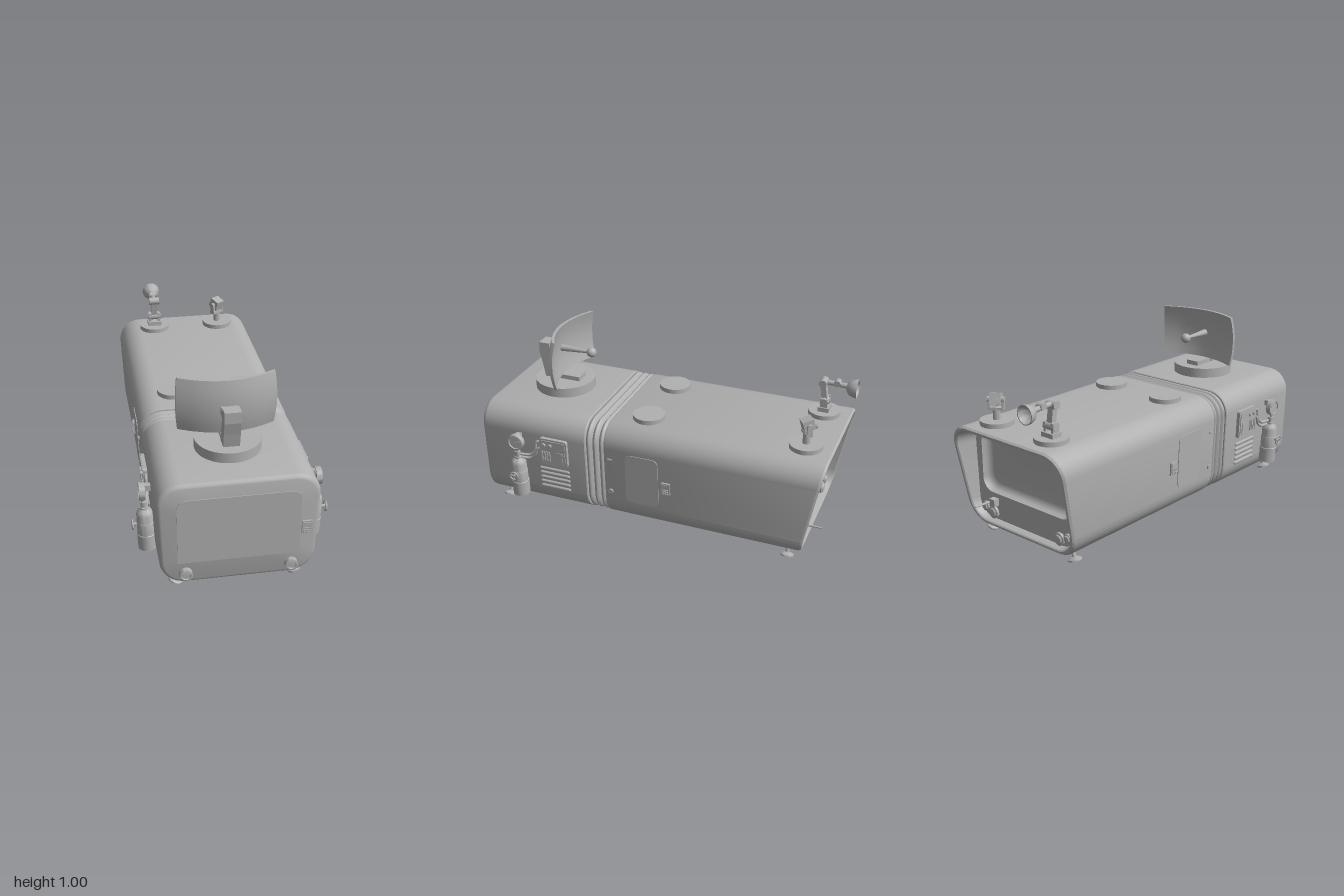
import * as THREE from 'three';
import { toCreasedNormals } from 'three/addons/utils/BufferGeometryUtils.js';

const grey = new THREE.MeshStandardMaterial({ color: 0xb0b0b0, side: THREE.DoubleSide });
grey.name = 'hull grey';

function add(parent, name, geo, pos = [0, 0, 0], rot = [0, 0, 0]) {
  const m = new THREE.Mesh(geo, grey);
  m.name = name;
  m.position.set(...pos);
  m.rotation.set(...rot);
  parent.add(m);
  return m;
}
function group(parent, name, pos = [0, 0, 0], rot = [0, 0, 0]) {
  const g = new THREE.Group();
  g.name = name;
  g.position.set(...pos);
  g.rotation.set(...rot);
  parent.add(g);
  return g;
}
const V = (x, y, z) => new THREE.Vector3(x, y, z);
const box = (x, y, z) => new THREE.BoxGeometry(x, y, z);
const cyl = (r1, r2, h, n = 28) => new THREE.CylinderGeometry(r1, r2, h, n);
const tube = (pts, r) => new THREE.TubeGeometry(new THREE.CatmullRomCurve3(pts.map(p => V(...p))), 20, r, 8);
const lathe = (pts, n = 28) =>
  toCreasedNormals(new THREE.LatheGeometry(pts.map(p => new THREE.Vector2(...p)), n), 0.6);
// Straight rod between two points
function rod(parent, name, a, b, r1, r2 = r1, n = 12) {
  const A = V(...a), B = V(...b), d = B.clone().sub(A);
  const m = add(parent, name, cyl(r2, r1, d.length(), n), A.clone().add(B).multiplyScalar(0.5).toArray());
  m.quaternion.setFromUnitVectors(V(0, 1, 0), d.normalize());
  return m;
}

// Rounded rectangle outline, counter-clockwise, leaning out slightly towards the top
function outline(hw, y0, y1, r, lean = 0) {
  const pts = [];
  [[1, y0 + r], [1, y1 - r], [-1, y1 - r], [-1, y0 + r]].forEach(([s, cy], k) => {
    for (let i = 0; i <= 8; i++) {
      const a = (k - 1 + i / 8) * Math.PI / 2;
      const y = cy + r * Math.sin(a);
      pts.push([(s * (hw - r) + r * Math.cos(a)) * (1 + lean * (y - 0.345)), y]);
    }
  });
  return pts;
}
const hullOutline = inset => outline(0.398 - inset, 0.055 + inset, 0.63 - inset, 0.125 - inset * 0.8, 0.09);
const toShape = pts => new THREE.Shape(pts.map(p => new THREE.Vector2(...p)));
const ring = (inset, z) => hullOutline(inset).map(([x, y]) => [x, y, typeof z === 'function' ? z(y) : z]);

// Skin a list of rings running from back to front, optionally closing the ends
function loft(rings, capBack, capFront) {
  const n = rings[0].length, pos = rings.flat(2), idx = [];
  for (let j = 0; j < rings.length - 1; j++)
    for (let i = 0; i < n; i++) {
      const a = j * n + i, b = j * n + (i + 1) % n;
      idx.push(a, b, b + n, a, b + n, a + n);
    }
  const cap = (j, flip) => {
    const c = pos.length / 3;
    pos.push(0, 0.345, rings[j][0][2]);
    for (let i = 0; i < n; i++) {
      const a = j * n + i, b = j * n + (i + 1) % n;
      idx.push(c, flip ? b : a, flip ? a : b);
    }
  };
  if (capBack) cap(0, true);
  if (capFront) cap(rings.length - 1, false);
  const g = new THREE.BufferGeometry();
  g.setAttribute('position', new THREE.Float32BufferAttribute(pos, 3));
  g.setIndex(idx);
  return toCreasedNormals(g, 0.6);
}
// Rounded plate facing +z, with its back at z = 0
const plate = (w, h, r, d) =>
  new THREE.ExtrudeGeometry(toShape(outline(w / 2, -h / 2, h / 2, r)), { depth: d, bevelEnabled: false });

function keypad(parent, pos, rot) {
  const g = group(parent, 'keypad', pos, rot);
  add(g, 'keypadCase', plate(0.052, 0.074, 0.004, 0.012));
  add(g, 'keypadDisplay', box(0.036, 0.02, 0.006), [0, 0.02, 0.013]);
  for (let i = 0; i < 9; i++)
    add(g, 'key', box(0.009, 0.008, 0.008), [(i % 3 - 1) * 0.013, -0.004 - Math.floor(i / 3) * 0.011, 0.014]);
}

function buildHull(root) {
  const hull = group(root, 'hull');
  add(hull, 'frontCabin', loft([ring(0.02, 0.335), ring(0.004, 0.335), ring(0, 0.328 + 0.012),
    ring(0, 0.945), ring(0.004, 0.958), ring(0.011, 0.966), ring(0.022, 0.97)], true, true));
  const ribs = [];
  for (let i = 0; i <= 36; i++)
    ribs.push(ring(0.022 - 0.02 * Math.abs(Math.sin(i / 12 * Math.PI)), 0.222 + 0.116 * i / 36));
  add(hull, 'bellows', loft(ribs));
  const slant = o => y => -0.87 - 0.11 * (y - 0.06) / 0.57 + o;
  add(hull, 'rearCabin', loft([ring(0.035, -0.835), ring(0.026, slant(0.006)), ring(0.02, slant(0)), ring(0.008, slant(0)),
    ring(0, slant(0.012)), ring(0, 0.215), ring(0.004, 0.225), ring(0.02, 0.225)], false, true));
  // Recessed rear wall and window
  const wall = toShape(hullOutline(0.035));
  const win = i => outline(0.325 - i, 0.235 + i, 0.575 - i, 0.07 - i * 0.4);
  wall.holes.push(new THREE.Path(win(0).map(p => new THREE.Vector2(...p))));
  add(hull, 'rearWall', new THREE.ShapeGeometry(wall), [0, 0, -0.835]);
  const wr = (i, z) => win(i).map(([x, y]) => [x, y, z]).reverse();
  add(hull, 'rearWindow', loft([wr(0, -0.835), wr(0.006, -0.81), wr(0.02, -0.795), wr(0.04, -0.79)], false, true));
  // Front screen, keypad and lamps
  const s = new THREE.Shape();
  s.moveTo(-0.305, 0.18).lineTo(0.305, 0.18).lineTo(0.305, 0.495);
  s.quadraticCurveTo(0.305, 0.545, 0.255, 0.545).lineTo(-0.255, 0.545).quadraticCurveTo(-0.305, 0.545, -0.305, 0.495);
  add(hull, 'frontScreen', new THREE.ExtrudeGeometry(s, { depth: 0.006, bevelEnabled: false }), [0, 0, 0.968]);
  keypad(hull, [0.338, 0.33, 0.968]);
  for (const x of [-0.265, 0.265]) {
    add(hull, 'frontLamp', lathe([[0.033, 0], [0.033, 0.03], [0.024, 0.032], [0.022, 0.024], [0, 0.026]]),
      [x, 0.118, 0.965], [Math.PI / 2, 0, 0]);
    // Paired tail lamps
    for (const [dx, y, r] of [[0, 0.125, 0.034], [Math.sign(x) * 0.06, 0.145, 0.026]])
      add(hull, 'tailLamp', lathe([[r, 0], [r, 0.014], [r * 0.75, 0.016], [r * 0.6, 0.022], [0, 0.026]]),
        [x - Math.sign(x) * 0.02 + dx, y, -0.835], [-Math.PI / 2, 0, 0]);
  }
  add(hull, 'rearSensor', box(0.04, 0.04, 0.035), [0.23, 0.19, -0.85]);
  rod(hull, 'rearProbe', [0.25, 0.19, -0.84], [0.25, 0.19, -0.96], 0.008, 0.004);
}

// Equipment on one flank, drawn for +x
function buildFlank(root, s) {
  const flank = group(root, s > 0 ? 'leftFlank' : 'rightFlank');
  flank.scale.x = s;
  const side = group(flank, 'sideWall', [0.398, 0.345, 0], [0, 0, -0.036]);
  const out = [0, Math.PI / 2, 0], turn = [0, 0, -Math.PI / 2];
  add(side, 'door', plate(0.19, 0.3, 0.035, 0.006), [-0.002, 0, 0.005], out);
  keypad(side, [-0.002, -0.015, -0.133], out);
  add(side, 'lockBolt', cyl(0.015, 0.015, 0.015, 16), [0.002, -0.105, 0.19], turn);
  add(side, 'latch', box(0.012, 0.008, 0.024), [0.002, 0.1, 0.19]);
  for (let i = 0; i < 5; i++)
    add(side, 'louvre', new THREE.CapsuleGeometry(0.01, 0.165, 4, 10), [0, -0.045 - i * 0.029, 0.53], [Math.PI / 2, 0, 0]);
  // Control box
  add(side, 'controlBox', plate(0.165, 0.165, 0.014, 0.02), [0, 0.078, 0.522], out);
  add(side, 'controlFace', plate(0.145, 0.145, 0.01, 0.004), [0.02, 0.078, 0.522], out);
  for (const z of [0.575, 0.537]) add(side, 'dial', cyl(0.012, 0.012, 0.014, 16), [0.028, 0.123, z], turn);
  for (let i = 0; i < 4; i++) add(side, 'switchBar', box(0.01, 0.06, 0.009), [0.026, 0.055, 0.588 - i * 0.015]);
  add(side, 'controlPlate', box(0.006, 0.07, 0.035), [0.025, 0.052, 0.48]);
  // Gas bottle with valve wheel and gauge
  const tank = group(flank, 'gasBottle', [0.426, 0.13, 0.735], [0, 0, -0.05]);
  add(tank, 'bottle', lathe([[0, 0], [0.048, 0], [0.048, 0.085], [0.045, 0.088], [0.045, 0.155], [0.043, 0.158],
    [0.043, 0.2], [0.037, 0.218], [0.02, 0.232], [0.02, 0.242], [0.016, 0.244], [0.016, 0.275], [0, 0.278]]));
  rod(tank, 'valveStem', [0.035, 0.145, 0], [0.068, 0.145, 0], 0.008);
  add(tank, 'valveWheel', new THREE.TorusGeometry(0.024, 0.005, 8, 24), [0.066, 0.145, 0], out);
  for (const a of [0.5, 2.6, 4.7])
    rod(tank, 'wheelSpoke', [0.066, 0.145, 0], [0.066, 0.145 + 0.024 * Math.sin(a), 0.024 * Math.cos(a)], 0.003);
  add(flank, 'gauge', lathe([[0, 0], [0.046, 0], [0.046, 0.03], [0.038, 0.031], [0.036, 0.024], [0, 0.024]]),
    [0.433, 0.465, 0.735], turn);
  add(flank, 'gaugeNeedle', box(0.004, 0.005, 0.04), [0.459, 0.468, 0.728], [0.35, 0, 0]);
  add(flank, 'gaugeBracket', box(0.04, 0.03, 0.03), [0.415, 0.488, 0.735]);
  rod(flank, 'gaugeStem', [0.442, 0.39, 0.735], [0.446, 0.43, 0.735], 0.009);
  add(flank, 'upperHose', tube([[0.41, 0.475, 0.6], [0.415, 0.47, 0.625], [0.415, 0.42, 0.635], [0.42, 0.385, 0.665], [0.435, 0.385, 0.73]], 0.008));
  add(flank, 'lowerHose', tube([[0.41, 0.435, 0.6], [0.415, 0.43, 0.618], [0.413, 0.385, 0.64], [0.415, 0.36, 0.67], [0.43, 0.362, 0.73]], 0.008));
}

function buildRoof(root) {
  const roof = group(root, 'roof');
  for (const x of [-0.195, 0.2]) for (const z of [0.04, -0.83])
    add(roof, 'roofDisc', cyl(0.088, 0.088, 0.03, 40), [x, 0.64, z]);
  // Large curved reflector on a turntable
  const radar = group(roof, 'radar', [0, 0, 0.64]);
  add(radar, 'turntable', cyl(0.17, 0.17, 0.06, 48), [0, 0.655, 0]);
  const panel = new THREE.BoxGeometry(0.49, 0.285, 0.018, 8, 8, 1), p = panel.attributes.position;
  for (let i = 0; i < p.count; i++) {
    const u = p.getX(i) / 0.245, v = p.getY(i) / 0.1425;
    p.setX(i, p.getX(i) * (1.04 - 0.04 * v * v));
    p.setZ(i, p.getZ(i) - 0.07 * u * u - 0.018 * v * v);
  }
  add(radar, 'reflector', toCreasedNormals(panel, 0.6), [0, 0.8575, 0.025]);
  const arm = new THREE.Shape([[0.03, 0.68], [0.105, 0.68], [0.12, 0.76], [0.137, 0.83], [0.137, 0.89], [0.075, 0.89],
    [0.075, 0.87], [0.025, 0.87], [0.025, 0.83], [0.07, 0.83], [0.05, 0.76]].map(q => new THREE.Vector2(-q[0], q[1])));
  add(radar, 'radarArm', new THREE.ExtrudeGeometry(arm, { depth: 0.084, bevelEnabled: false }), [-0.042, 0, 0], [0, Math.PI / 2, 0]);
  add(radar, 'radarFoot', box(0.08, 0.03, 0.13), [0, 0.695, -0.04]);
  rod(radar, 'feedArm', [0, 0.86, 0.02], [0, 0.86, -0.16], 0.02, 0.008);
  add(radar, 'feedBall', new THREE.SphereGeometry(0.028, 24, 16), [0, 0.86, -0.17]);
  // Small dish on a jointed arm
  const dish = group(roof, 'smallDish', [-0.195, 0, -0.83]);
  add(dish, 'dishFoot', box(0.08, 0.025, 0.06), [0, 0.667, 0]);
  for (const x of [-0.026, 0.026]) add(dish, 'dishFork', box(0.014, 0.06, 0.04), [x, 0.7, 0]);
  const joint = (y, z, r, w) => add(dish, 'dishJoint', cyl(r, r, w, 20), [0, y, z], [0, 0, Math.PI / 2]);
  joint(0.71, 0, 0.022, 0.075);
  add(dish, 'lowerArm', box(0.035, 0.12, 0.03), [0, 0.76, 0.008], [0.15, 0, 0]);
  joint(0.815, 0.015, 0.022, 0.06);
  rod(dish, 'upperArm', [0, 0.82, 0.015], [0, 0.815, -0.115], 0.014);
  joint(0.825, -0.06, 0.018, 0.04);
  add(dish, 'dishBowl', lathe([[0, 0], [0.025, 0.006], [0.042, 0.024], [0.05, 0.05], [0.051, 0.062], [0.046, 0.062],
    [0.038, 0.035], [0.02, 0.018], [0, 0.014]]), [0, 0.807, -0.108], [-Math.PI / 2, 0, 0]);
  // Swivelling camera
  const cam = group(roof, 'camera', [0.2, 0, -0.83], [0, 0.6, 0]);
  rod(cam, 'cameraPost', [0, 0.65, 0], [0, 0.71, 0], 0.02);
  add(cam, 'cameraYoke', box(0.08, 0.014, 0.035), [0, 0.713, 0]);
  for (const x of [-0.036, 0.036]) add(cam, 'yokeArm', box(0.01, 0.06, 0.03), [x, 0.74, 0]);
  add(cam, 'cameraBody', box(0.056, 0.06, 0.06), [0, 0.765, 0], [0.3, 0, 0]);
  add(cam, 'cameraLens', cyl(0.024, 0.024, 0.02, 20), [0, 0.757, -0.034], [Math.PI / 2 + 0.3, 0, 0]);
  add(cam, 'cameraPivot', cyl(0.016, 0.016, 0.09, 16), [0, 0.76, 0], [0, 0, Math.PI / 2]);
}

function buildUnderside(root) {
  const under = group(root, 'underside');
  for (const x of [-1, 1]) {
    for (const z of [0.885, -0.795]) {
      const foot = group(under, 'foot', [x * 0.305, 0.014, z], [0, 0, x * 0.32]);
      add(foot, 'footPad', lathe([[0, -0.008], [0.036, -0.004], [0.036, 0.004], [0.014, 0.016], [0, 0.016]]));
      add(foot, 'footStem', cyl(0.011, 0.011, 0.09, 14), [0, 0.05, 0]);
    }
    // Round thrusters
    for (const z of [0.73, -0.72])
      add(under, 'thruster', lathe([[0.095, 0.06], [0.085, 0.048], [0.06, 0.036], [0.05, 0.036], [0.042, 0.052],
        [0.026, 0.052], [0.022, 0.03], [0, 0.03]], 32), [x * 0.165, 0, z]);
  }
  // Belly hatch with slats and handle
  const flat = [Math.PI / 2, 0, 0];
  add(under, 'bellyHatch', plate(0.26, 0.36, 0.04, 0.014), [0, 0.058, -0.3], flat);
  for (let i = 0; i < 4; i++)
    add(under, 'hatchSlat', new THREE.CapsuleGeometry(0.009, 0.15, 4, 10), [0, 0.043, -0.24 - i * 0.05], [0, 0, Math.PI / 2]);
  add(under, 'hatchHandle', plate(0.09, 0.08, 0.008, 0.02), [0, 0.06, -0.06], flat);
  add(under, 'hatchRing', new THREE.TorusGeometry(0.04, 0.006, 8, 28), [0, 0.038, -0.15], flat);
}

export function createModel() {
  const root = new THREE.Group();
  root.name = 'habitatModule';
  buildHull(root);
  buildFlank(root, 1);
  buildFlank(root, -1);
  buildRoof(root);
  buildUnderside(root);
  return root;
}
